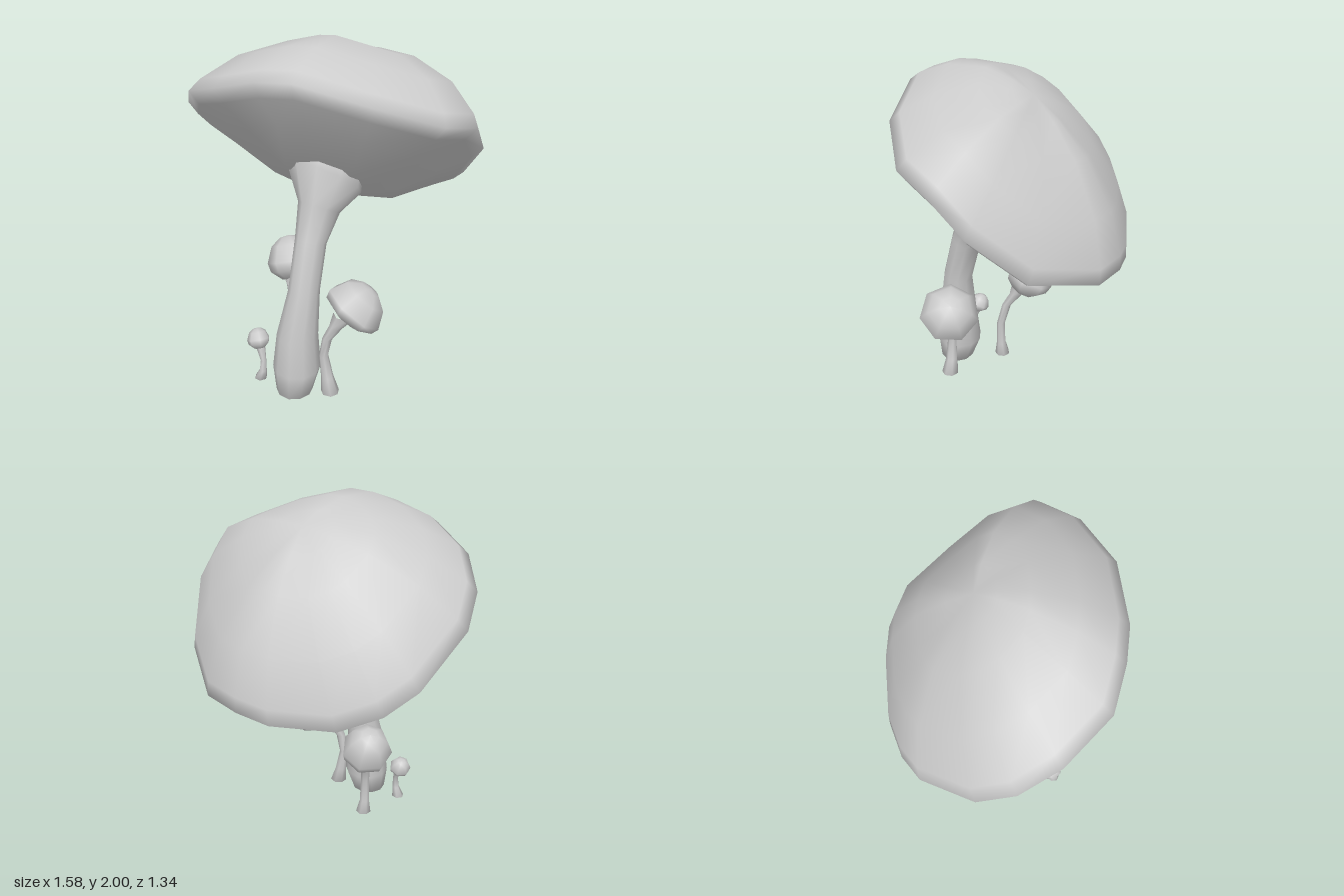
import * as THREE from 'three';
import { mergeVertices } from 'three/addons/utils/BufferGeometryUtils.js';

const grey = new THREE.MeshStandardMaterial({ color: 0xcccccc });
grey.name = 'pale grey';

// Smooth skin over a stack of rings (each an array of points, lowest ring first)
function loft(rings) {
  const n = rings[0].length, index = [];
  for (let i = 0; i < rings.length - 1; i++) {
    for (let j = 0; j < n; j++) {
      const a = i * n + j, b = i * n + (j + 1) % n;
      index.push(a, a + n, b, b, a + n, b + n);
    }
  }
  let g = new THREE.BufferGeometry().setFromPoints(rings.flat());
  g.setIndex(index);
  g = mergeVertices(g, 1e-4);
  g.computeVertexNormals();
  return g;
}

// Elliptical ring: centre, x radius, depth radius, tilt (front edge raised)
function ring([x, y, z, rx, rz = rx, tilt = 0], sides) {
  return Array.from({ length: sides }, (_, j) => {
    const a = (j / sides) * Math.PI * 2, d = Math.sin(a) * rz;
    return new THREE.Vector3(x + Math.cos(a) * rx, y + d * Math.sin(tilt), z + d * Math.cos(tilt));
  });
}

function part(name, geometry) {
  const mesh = new THREE.Mesh(geometry, grey);
  mesh.name = name;
  return mesh;
}

// Stem closed at the foot
function stem(name, sections, sides) {
  const [x, y, z] = sections[0];
  return part(name, loft([[x, y, z, 0], ...sections].map((s) => ring(s, sides))));
}

// Large tilted cap: domed above and bulging below an uneven rim
function bigCap() {
  const rim = [
    [0.785, 1.59, -0.08], [0.73, 1.65, 0.16], [0.5, 1.77, 0.42], [0.16, 1.87, 0.59],
    [-0.02, 1.86, 0.64], [-0.25, 1.8, 0.67], [-0.54, 1.71, 0.55], [-0.71, 1.58, 0.4],
    [-0.79, 1.44, 0.22], [-0.76, 1.21, -0.11], [-0.67, 1.1, -0.27], [-0.51, 1.02, -0.43],
    [-0.2, 1.0, -0.6], [-0.02, 1.03, -0.66], [0.2, 1.05, -0.665], [0.55, 1.16, -0.48],
    [0.75, 1.42, -0.26],
  ].map((p) => new THREE.Vector3(...p));
  const up = new THREE.Vector3(0, 0.87, -0.49);
  const low = new THREE.Vector3(-0.02, 1.28, -0.22), high = new THREE.Vector3(0.02, 1.465, 0.11);
  // Ring at fraction t from centre to rim, raised by h
  const level = (centre) => ([t, h]) =>
    rim.map((p) => centre.clone().lerp(p, t).addScaledVector(up, h));
  const under = [[0, -0.295], [0.45, -0.245], [0.75, -0.12], [0.93, -0.05]];
  const dome = [[0.95, 0.075], [0.75, 0.25], [0.45, 0.4], [0.2, 0.46], [0, 0.485]];
  return part('bigCap', loft([...under.map(level(low)), rim, ...dome.map(level(high))]));
}

// Small cap: dome over a rounded underside, rim centred on position, tipped along an axis
function smallCap(name, position, axis, radius, height, depth) {
  const profile = [[0, -depth], [0.5, -depth * 0.9], [0.92, -depth * 0.3], [1, height * 0.16],
    [0.74, height * 0.7], [0.35, height * 0.95], [0, height]]
    .map(([r, y]) => new THREE.Vector2(r * radius, y));
  const mesh = part(name, new THREE.LatheGeometry(profile, 7));
  mesh.position.set(...position);
  mesh.quaternion.setFromUnitVectors(new THREE.Vector3(0, 1, 0), new THREE.Vector3(...axis).normalize());
  return mesh;
}

export function createModel() {
  const model = new THREE.Group();
  model.name = 'mushroomCluster';

  // Main mushroom, its stem flaring out under the cap
  model.add(bigCap());
  model.add(stem('mainStem', [
    [0.025, 0, 0.465, 0.105],
    [0.025, 0.15, 0.437, 0.137],
    [0.033, 0.37, 0.435, 0.115, 0.12],
    [0.06, 0.65, 0.4, 0.085, 0.09, 0.1],
    [0.055, 0.92, 0.325, 0.085, 0.09, 0.35],
    [0.04, 1.08, 0.225, 0.115, 0.125, 0.5],
    [0.02, 1.22, 0.15, 0.22, 0.215, 0.7],
    [0.02, 1.31, 0.1, 0.2, 0.2, 0.6],
  ], 10));

  // Small mushrooms around the foot
  model.add(smallCap('rightSmallCap', [-0.26, 0.555, 0.095], [-0.35, 0.85, -0.25], 0.148, 0.18, 0.09));
  model.add(stem('rightSmallStem', [
    [-0.145, 0, 0.22, 0.047],
    [-0.145, 0.08, 0.228, 0.03],
    [-0.145, 0.24, 0.228, 0.026],
    [-0.17, 0.38, 0.2, 0.028],
    [-0.21, 0.46, 0.155, 0.04],
    [-0.24, 0.54, 0.12, 0.07],
  ], 7));
  model.add(smallCap('leftSmallCap', [0.29, 0.53, 0.28], [0.42, 0.72, -0.46], 0.178, 0.175, 0.05));
  model.add(stem('leftSmallStem', [
    [0.21, 0, 0.37, 0.053],
    [0.19, 0.1, 0.37, 0.036],
    [0.17, 0.24, 0.375, 0.027],
    [0.19, 0.36, 0.365, 0.029],
    [0.23, 0.44, 0.335, 0.04],
    [0.27, 0.52, 0.3, 0.07],
  ], 7));
  model.add(smallCap('tinyCap', [-0.222, 0.238, 0.478], [-0.35, 0.85, -0.25], 0.067, 0.077, 0.045));
  model.add(stem('tinyStem', [
    [-0.2, 0, 0.5, 0.038],
    [-0.18, 0.06, 0.5, 0.022],
    [-0.178, 0.13, 0.495, 0.017],
    [-0.2, 0.19, 0.485, 0.025],
    [-0.215, 0.23, 0.48, 0.03],
  ], 6));
  return model;
}
